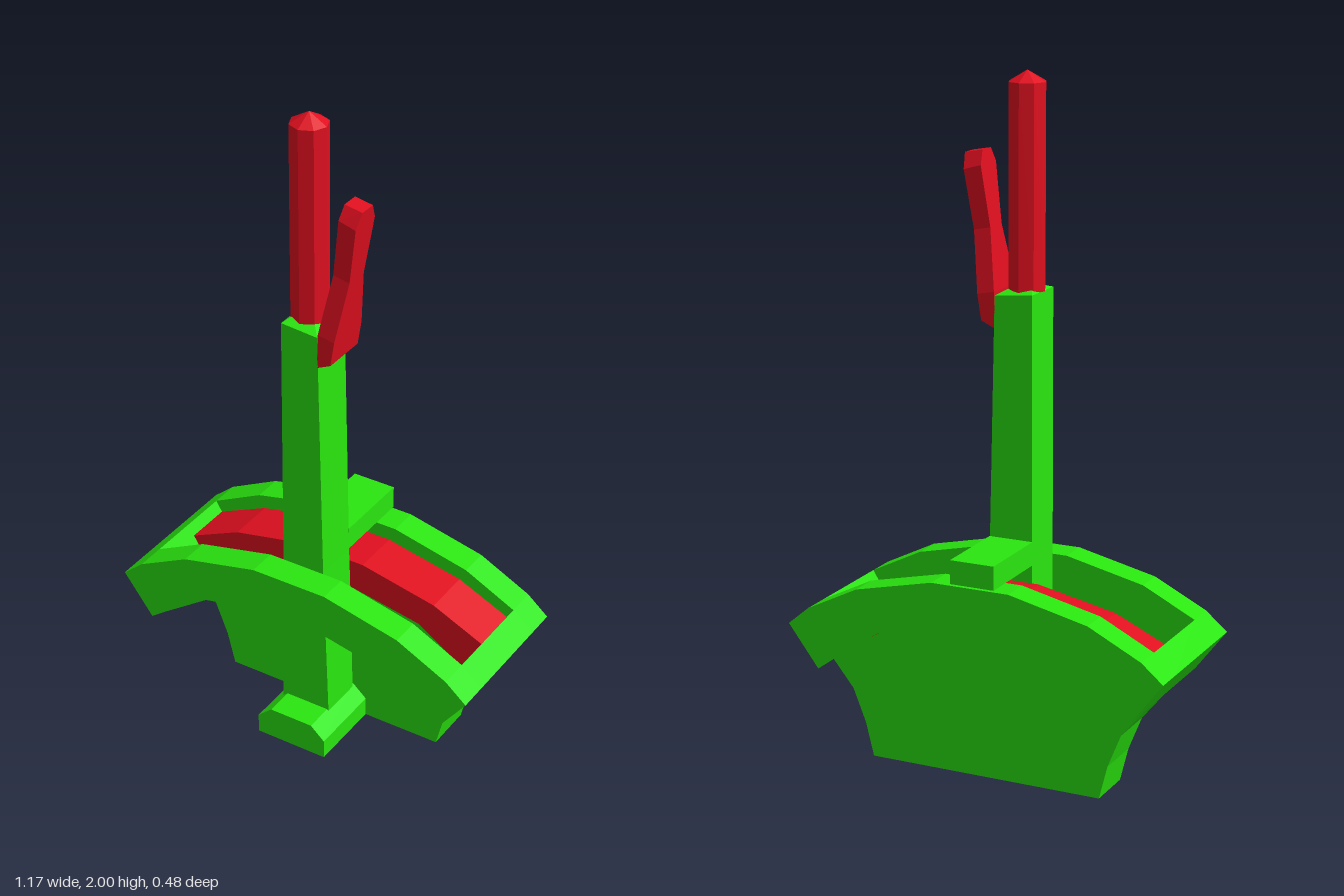
import * as THREE from 'three';

const green = new THREE.MeshStandardMaterial({ color: 0x2ae60f, flatShading: true });
const red = new THREE.MeshStandardMaterial({ color: 0xe00f1f, flatShading: true });

// Mirrors the right half of a closed outline to the left.
const mirror = (half) => [...half, ...half.map(([x, y]) => [-x, y]).reverse()];

// Flat plate: outline in x and y, from z0 to z1.
function plate(points, z0, z1) {
  const shape = new THREE.Shape(points.map(([x, y]) => new THREE.Vector2(x, y)));
  const geo = new THREE.ExtrudeGeometry(shape, { depth: z1 - z0, bevelEnabled: false });
  return geo.translate(0, 0, z0);
}

// Solid through four-sided sections [xLeft, yLeft, xRight, yRight, zBack, zFront], low to high.
function loft(sections) {
  const pos = [], index = [];
  for (const [xl, yl, xr, yr, zb, zf] of sections) {
    pos.push(xl, yl, zf, xr, yr, zf, xr, yr, zb, xl, yl, zb);
  }
  const quad = (a, b, c, d) => index.push(a, b, c, a, c, d);
  for (let s = 0; s < sections.length - 1; s++) {
    for (let i = 0; i < 4; i++) {
      const a = s * 4 + i, b = s * 4 + (i + 1) % 4;
      quad(a, b, b + 4, a + 4);
    }
  }
  const t = (sections.length - 1) * 4;
  quad(3, 2, 1, 0);
  quad(t, t + 1, t + 2, t + 3);
  const geo = new THREE.BufferGeometry();
  geo.setAttribute('position', new THREE.Float32BufferAttribute(pos, 3));
  geo.setIndex(index);
  const flat = geo.toNonIndexed();
  flat.computeVertexNormals();
  return flat;
}

export function createModel() {
  const model = new THREE.Group();
  const add = (name, geo, material, parent = model) => {
    const mesh = new THREE.Mesh(geo, material);
    mesh.name = name;
    parent.add(mesh);
    return mesh;
  };

  // Arched frame: front and back rails joined by two end bars
  const frame = new THREE.Group();
  frame.name = 'archedFrame';
  model.add(frame);
  const arch = mirror([
    [0.08, 0.465], [0.29, 0.42], [0.435, 0.32], [0.49, 0.28],
    [0.585, 0.405], [0.52, 0.46], [0.36, 0.54], [0.12, 0.595],
  ]);
  add('frontRail', plate(arch, 0.15, 0.24), green, frame);
  add('backRail', plate(arch, -0.24, -0.15), green, frame);
  const end = [[0.435, 0.32], [0.49, 0.28], [0.585, 0.405], [0.52, 0.46]];
  for (const [name, side] of [['leftEndBar', 1], ['rightEndBar', -1]]) {
    add(name, plate(end.map(([x, y]) => [x * side, y]), -0.15, 0.15), green, frame);
  }

  // Quadrant plate under the frame, with a coloured band along its curved top
  add('quadrantPlate', plate(mirror([
    [0.36, 0], [0.385, 0.1], [0.425, 0.2], [0.49, 0.28],
    [0.435, 0.32], [0.29, 0.415], [0.07, 0.455],
  ]), -0.15, 0), green);
  add('quadrantBand', plate(mirror([
    [0.07, 0.455], [0.29, 0.415], [0.435, 0.32],
    [0.5, 0.427], [0.34, 0.5], [0.1, 0.55],
  ]), -0.15, 0), red);

  // Foot with chamfered top
  add('foot', plate(mirror([[0.115, 0], [0.115, 0.06], [0.07, 0.1]]), 0, 0.235), green);

  // Tapering lever, slightly peaked at the top
  add('lever', loft([
    [-0.085, 0.08, 0.075, 0.08, 0.01, 0.145],
    [-0.075, 0.46, 0.065, 0.46, 0.01, 0.15],
    [-0.075, 0.6, 0.06, 0.6, 0.01, 0.15],
    [-0.073, 1.385, 0.043, 1.375, 0.01, 0.15],
    [-0.05, 1.4, 0, 1.4, 0.055, 0.1],
  ]), green);

  // Bracket reaching from the lever over the back rail
  add('bracket', new THREE.BoxGeometry(0.135, 0.07, 0.25).translate(-0.008, 0.635, -0.115), green);

  // Eight-sided grip with a pointed cap
  const profile = [[0, 1.385], [0.055, 1.385], [0.055, 1.968], [0, 2]];
  const grip = new THREE.LatheGeometry(profile.map(([x, y]) => new THREE.Vector2(x, y)), 8);
  add('grip', grip.translate(-0.025, 0, 0.078), red);

  // Squeeze handle leaning away beside the grip
  add('squeezeHandle', loft([
    [0.042, 1.28, 0.085, 1.3, 0.01, 0.15],
    [0.045, 1.385, 0.097, 1.375, 0.01, 0.15],
    [0.072, 1.56, 0.123, 1.55, 0.043, 0.115],
    [0.095, 1.735, 0.148, 1.72, 0.03, 0.126],
    [0.1, 1.775, 0.155, 1.765, 0.052, 0.104],
  ]), red);

  return model;
}
